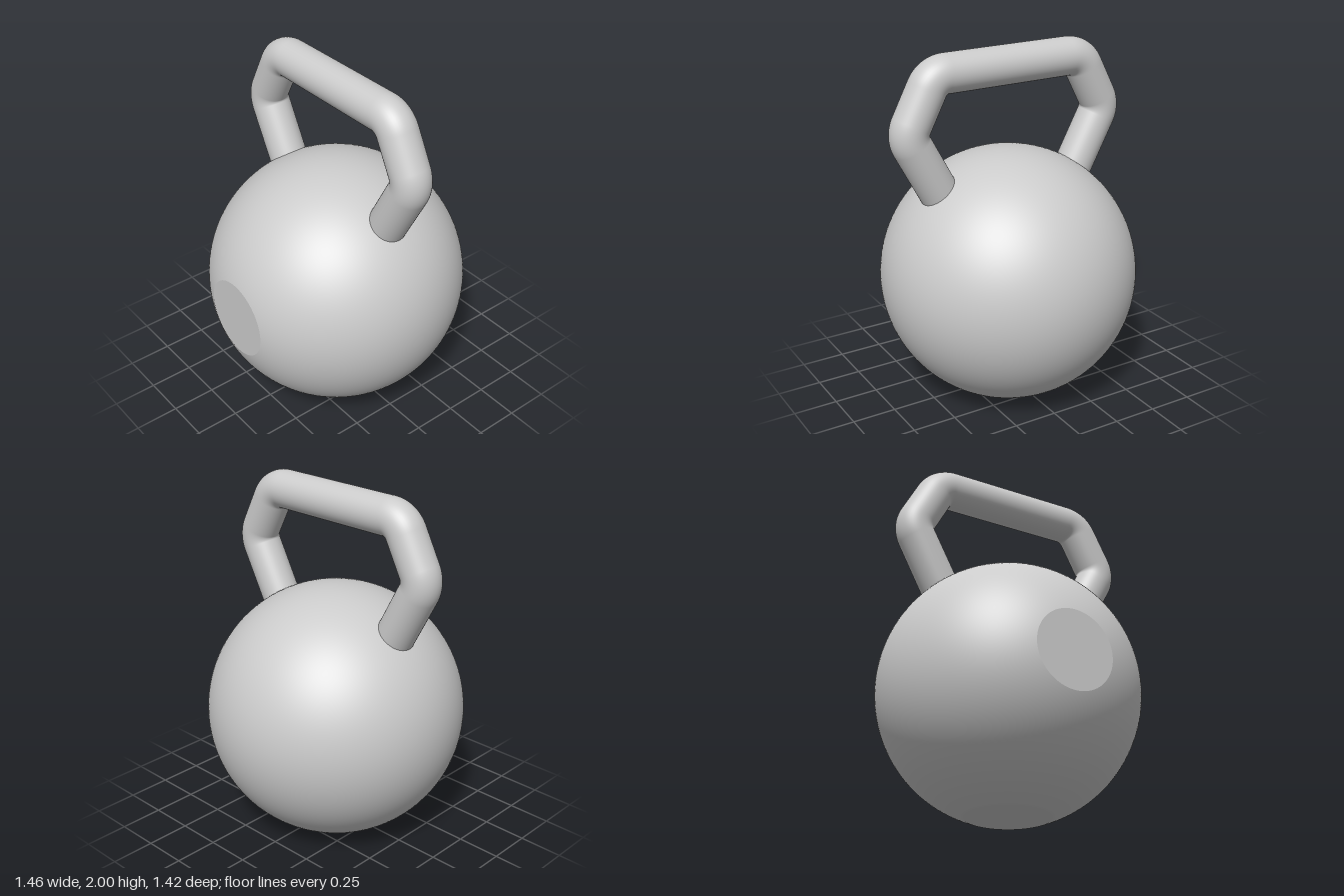
import * as THREE from 'three';
import { ParametricGeometry } from 'three/addons/geometries/ParametricGeometry.js';

const R = 0.73;                                // ball radius
const C = new THREE.Vector3(0, 0.69, 0.003);   // ball centre
const FRONT = 0.695;                           // centre to front flat
const BASE = 0.69;                             // centre to base flat
const TUBE = 0.108;                            // handle radius

// Ball surface between its two flats: circles cut by planes that swing about
// the line where the front and base planes meet, so both rims are exact.
function ballPoint(u, v, target) {
  const t = u * Math.PI * 2, a = v * Math.PI / 2;
  const dy = Math.cos(a), dz = -Math.sin(a);
  const along = BASE * dy - FRONT * dz;
  const y = -BASE + dy * along, z = FRONT + dz * along;
  const r = Math.sqrt(R * R - y * y - z * z);
  target.set(r * Math.sin(t), y + dy * r * Math.cos(t), z + dz * r * Math.cos(t)).add(C);
}

// Straight runs joined by circular bends of one radius
function bentPath(points, bend) {
  const path = new THREE.CurvePath();
  let from = points[0];
  for (let i = 1; i < points.length - 1; i++) {
    const p = points[i];
    const d0 = p.clone().sub(points[i - 1]).normalize();
    const d1 = points[i + 1].clone().sub(p).normalize();
    const turn = d0.angleTo(d1);
    const cut = bend * Math.tan(turn / 2);
    const k = bend * 4 / 3 * Math.tan(turn / 4);
    const a = p.clone().addScaledVector(d0, -cut);
    const b = p.clone().addScaledVector(d1, cut);
    path.add(new THREE.LineCurve3(from, a));
    path.add(new THREE.CubicBezierCurve3(a,
      a.clone().addScaledVector(d0, k), b.clone().addScaledVector(d1, -k), b));
    from = b;
  }
  path.add(new THREE.LineCurve3(from, points[points.length - 1]));
  return path;
}

export function createModel() {
  const group = new THREE.Group();
  const material = new THREE.MeshStandardMaterial({ color: 0xcccccc });
  const add = (name, geometry) => {
    const mesh = new THREE.Mesh(geometry, material);
    mesh.name = name;
    group.add(mesh);
    return mesh;
  };

  // Ball and its two flats
  add('ball', new ParametricGeometry(ballPoint, 128, 96));
  add('frontFlat', new THREE.CircleGeometry(Math.sqrt(R * R - FRONT * FRONT), 128))
    .position.set(0, C.y, C.z + FRONT);
  const base = add('baseFlat', new THREE.CircleGeometry(Math.sqrt(R * R - BASE * BASE), 128));
  base.rotation.x = Math.PI / 2;
  base.position.set(0, C.y - BASE, C.z);

  // Handle: half outline mirrored, ends sunk into the ball
  const half = [[0.37, 1.13], [0.613, 1.585], [0.453, 2 - TUBE]];
  const right = half.map(([x, y]) => new THREE.Vector3(-x, y, C.z));
  const left = half.map(([x, y]) => new THREE.Vector3(x, y, C.z)).reverse();
  add('handle', new THREE.TubeGeometry(bentPath([...right, ...left], 0.122), 240, TUBE, 48));

  return group;
}
